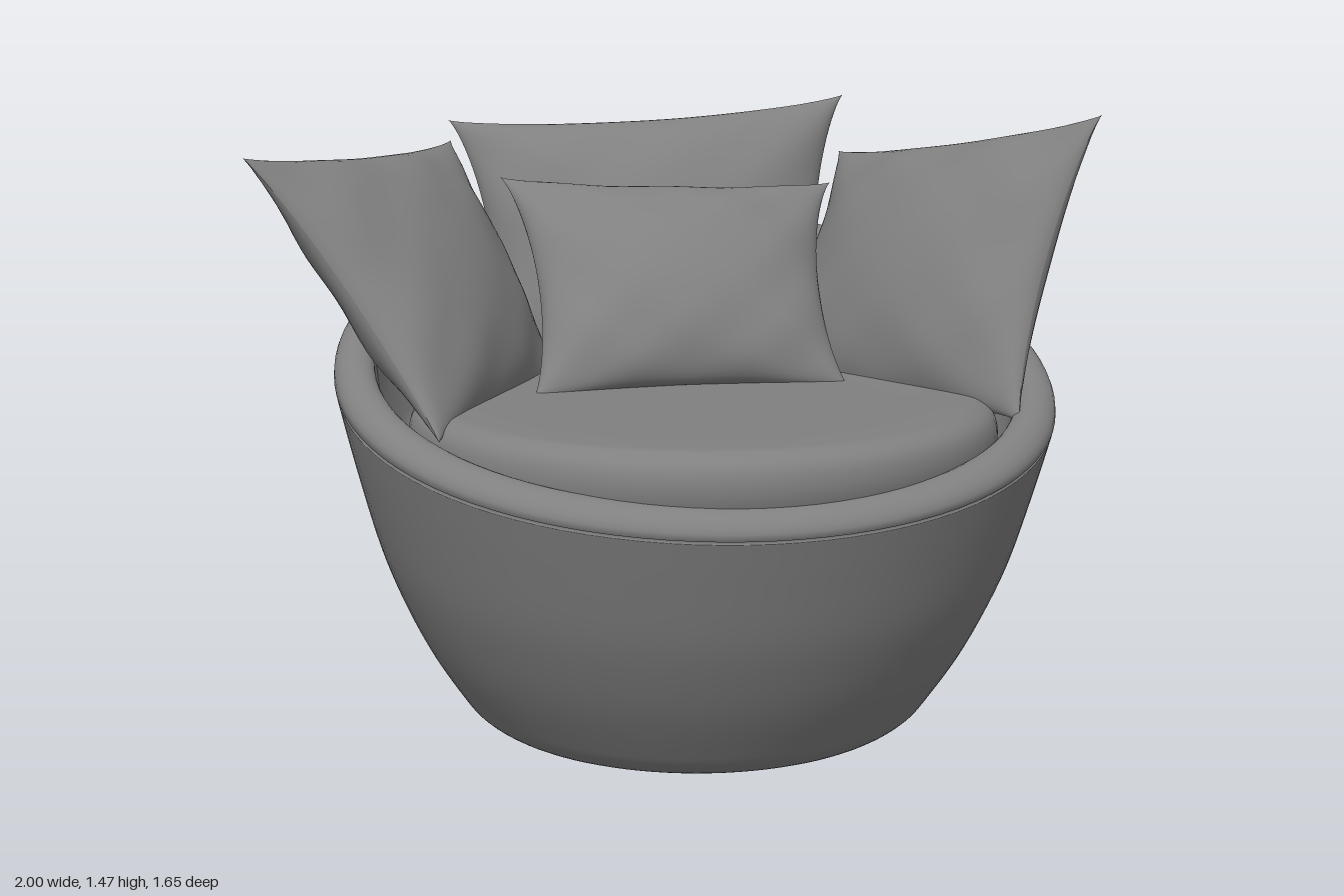
import * as THREE from 'three';
import { mergeVertices } from 'three/addons/utils/BufferGeometryUtils.js';

const fabric = new THREE.MeshStandardMaterial({ color: 0x808080 });
fabric.name = 'grey fabric';

const CX = 0.045; // the tub sits slightly off the pillows' centre line

function add(group, name, geometry) {
  const mesh = new THREE.Mesh(geometry, fabric);
  mesh.name = name;
  group.add(mesh);
  return mesh;
}

// Drop the lathe seam so normals run smoothly all the way round
function weld(geometry) {
  geometry.deleteAttribute('normal');
  geometry.deleteAttribute('uv');
  const g = mergeVertices(geometry, 1e-5);
  g.computeVertexNormals();
  return g;
}

// Round tub: a lathe whose rows are lifted towards the back to slope the rim
function tubGeometry() {
  const outer = new THREE.SplineCurve([
    [0.44, 0.015], [0.5, 0.045], [0.545, 0.09], [0.577, 0.15], [0.645, 0.3],
    [0.7, 0.45], [0.745, 0.6], [0.79, 0.8], [0.817, 0.93], [0.822, 0.955],
  ].map(p => new THREE.Vector2(...p))).getPoints(36);
  const rows = [[0, 0, 0], [0.3, 0, 0.004], ...outer.map(p => [p.x, p.y, 0])];
  // piping groove, then the rolled rim
  rows.push([0.815, 0.96, 0], [0.824, 0.965, 0]);
  for (let i = 1; i <= 12; i++) {
    const a = (i / 12) * Math.PI;
    rows.push([0.778 + 0.046 * Math.cos(a), 0.97 + 0.015 * Math.sin(a / 2), 0.035 * Math.sin(a)]);
  }
  // inner wall and the floor below the seat
  rows.push([0.727, 0.93, -0.01], [0.72, 0.88, -0.01], [0.7, 0.8, 0], [0.68, 0.75, 0], [0, 0.75, 0]);

  const g = new THREE.LatheGeometry(rows.map(r => new THREE.Vector2(r[0], r[1])), 96);
  const p = g.attributes.position;
  for (let i = 0; i < p.count; i++) {
    const [r, t, dy] = rows[i % rows.length];
    const u = (0.82 - p.getZ(i)) / 1.64;
    const lift = (0.36 * u + 0.17 * u * u) * t * t * (r === 0 ? 0 : 1);
    p.setXYZ(i, p.getX(i) * (1 + 0.038 * t), 0.67 * t + lift + dy, p.getZ(i));
  }
  return weld(g);
}

// Thick round seat cushion with soft edges
function seatGeometry() {
  const pts = [[0, 0.6], [0.6, 0.6], [0.65, 0.64], [0.68, 0.69], [0.69, 0.74],
    [0.68, 0.785], [0.65, 0.81], [0.6, 0.818], [0.4, 0.818], [0, 0.818]];
  const curve = new THREE.SplineCurve(pts.map(p => new THREE.Vector2(...p)));
  const profile = curve.getPoints(45);
  profile.forEach(v => { v.x = Math.max(0, v.x); });
  return weld(new THREE.LatheGeometry(profile, 80));
}

// Pillow stretched between four corners, with pinched sides and puffed faces.
// Corners are given as seen from the front face.
function pillowGeometry([tl, tr, bl, br], puff, pinch, seed) {
  const N = 32;
  const [TL, TR, BL, BR] = [tl, tr, bl, br].map(c => new THREE.Vector3(...c));
  const right = TR.clone().add(BR).sub(TL).sub(BL);
  const up = TL.clone().add(TR).sub(BL).sub(BR);
  const normal = right.cross(up).normalize();
  const positions = [], index = [];
  for (const side of [1, -1]) {
    const base = positions.length / 3;
    for (let j = 0; j <= N; j++) {
      for (let i = 0; i <= N; i++) {
        // denser rows near the seams
        const s = Math.sin((i / N - 0.5) * Math.PI), t = Math.sin((j / N - 0.5) * Math.PI);
        const bend = k => Math.pow(1 - k * k, 0.75);
        const u = s * (1 - pinch * bend(t)), v = t * (1 - pinch * 0.75 * bend(s));
        const top = TL.clone().lerp(TR, (u + 1) / 2);
        const bottom = BL.clone().lerp(BR, (u + 1) / 2);
        const point = top.lerp(bottom, (v + 1) / 2);
        const body = Math.max(0, (1 - s * s) * (1 - t * t));
        // folds fan out near the seams
        const fold = 0.012 * Math.sin(9 * s + seed) * Math.sin(8 * t + 2 * seed) * (s * s + t * t) * Math.sqrt(body);
        point.addScaledVector(normal, side * (puff * Math.pow(body, 0.55) + fold));
        positions.push(point.x, point.y, point.z);
      }
    }
    for (let j = 0; j < N; j++) {
      for (let i = 0; i < N; i++) {
        const a = base + j * (N + 1) + i, b = a + 1, c = a + N + 1, d = c + 1;
        if (side > 0) index.push(a, c, b, b, c, d);
        else index.push(a, b, c, b, d, c);
      }
    }
  }
  const g = new THREE.BufferGeometry();
  g.setAttribute('position', new THREE.Float32BufferAttribute(positions, 3));
  g.setIndex(index);
  g.computeVertexNormals();
  return g;
}

export function createModel() {
  const group = new THREE.Group();
  group.name = 'tub chair';

  add(group, 'tub', tubGeometry()).position.x = CX;

  const seat = add(group, 'seatCushion', seatGeometry());
  seat.position.set(CX, 0, 0.085);

  // corners: top left, top right, bottom left, bottom right
  add(group, 'backPillow', pillowGeometry(
    [[-0.47, 1.415, -0.7], [0.59, 1.47, -0.7], [-0.4, 0.72, -0.45], [0.5, 0.72, -0.45]], 0.16, 0.13, 0.4));
  add(group, 'smallPillow', pillowGeometry(
    [[-0.37, 1.29, -0.42], [0.475, 1.265, -0.39], [-0.35, 0.8, 0.01], [0.43, 0.8, -0.01]], 0.13, 0.14, 1.7));
  add(group, 'rightPillow', pillowGeometry(
    [[-1, 1.385, 0.06], [-0.46, 1.36, -0.74], [-0.6, 0.78, 0.35], [-0.22, 0.72, -0.42]], 0.14, 0.12, 2.6));
  add(group, 'leftPillow', pillowGeometry(
    [[0.58, 1.32, -0.7], [1, 1.46, 0.12], [0.3, 0.7, -0.42], [0.73, 0.78, 0.37]], 0.14, 0.12, 4.1));

  return group;
}
